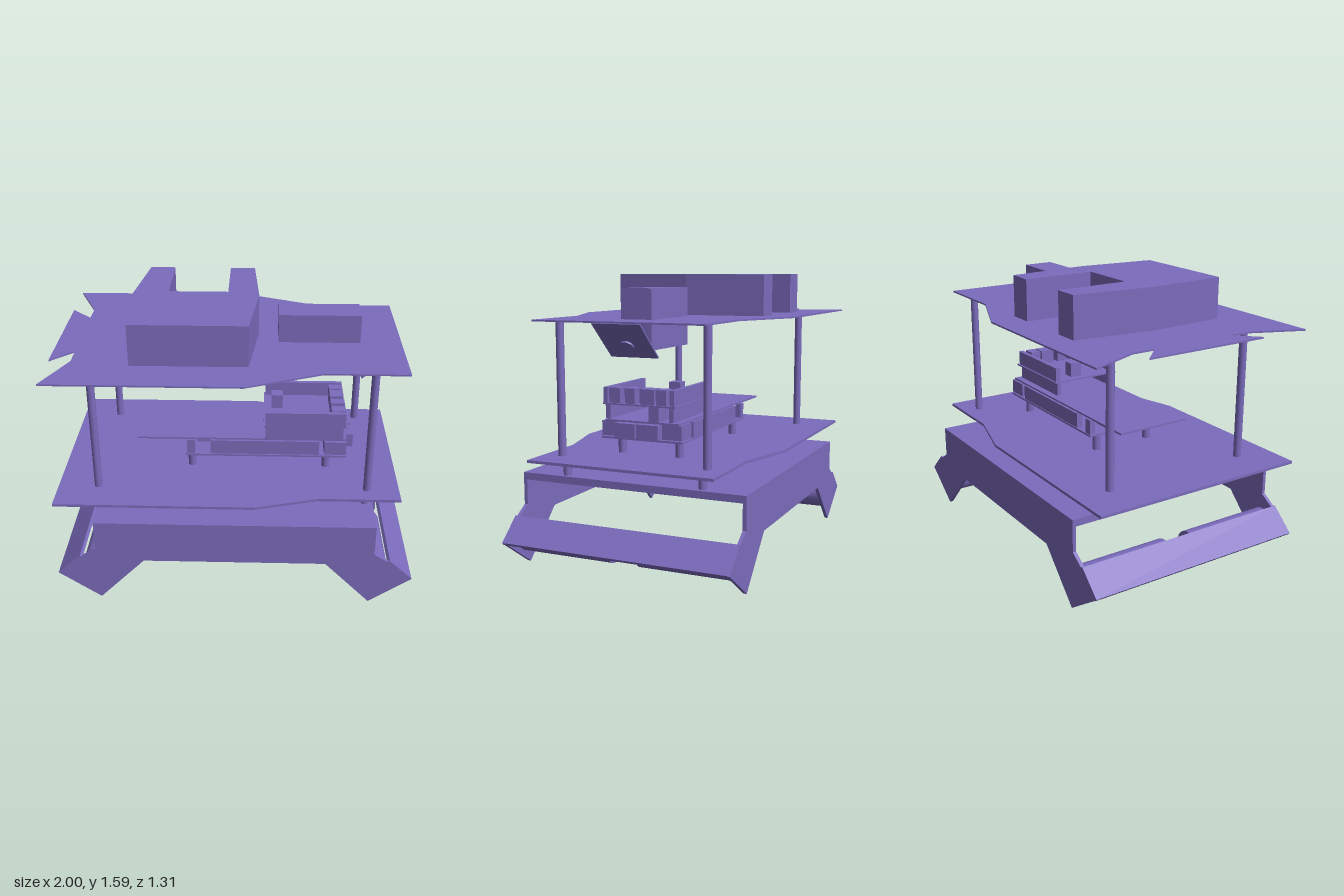
import * as THREE from 'three';

const violet = new THREE.MeshStandardMaterial({ color: 0x7b6bbc });
violet.name = 'violet';

export function createModel() {
  const model = new THREE.Group();
  model.name = 'twoDeckRobot';

  const add = (name, geometry) => {
    const mesh = new THREE.Mesh(geometry, violet);
    mesh.name = name;
    model.add(mesh);
    return mesh;
  };
  // Box given by its limits on each axis
  const box = (name, x0, x1, y0, y1, z0, z1) =>
    add(name, new THREE.BoxGeometry(x1 - x0, y1 - y0, z1 - z0))
      .position.set((x0 + x1) / 2, (y0 + y1) / 2, (z0 + z1) / 2);
  // Upright cylinder between two heights
  const post = (name, x, z, r, y0, y1) =>
    add(name, new THREE.CylinderGeometry(r, r, y1 - y0, 20)).position.set(x, (y0 + y1) / 2, z);
  const extrude = (points, depth) => new THREE.ExtrudeGeometry(
    new THREE.Shape(points.map(([x, y]) => new THREE.Vector2(x, y))),
    { depth, bevelEnabled: false });
  // Plan outline in x, z raised from y0 to y1
  const slab = (name, outline, y0, y1) =>
    add(name, extrude(outline.map(([x, z]) => [x, -z]), y1 - y0).rotateX(-Math.PI / 2).translate(0, y0, 0));
  // Side profile in x, y run along z
  const profile = (name, points, z0, z1) =>
    add(name, extrude(points, z1 - z0).translate(0, 0, z0));
  // Half outline followed by its mirror image
  const mirrored = (half, axis) => [...half,
    ...half.slice().reverse().map(([a, b]) => axis === 0 ? [-a, b] : [a, -b])];

  // Chassis: two legged side plates joined by a top panel
  const side = mirrored([[0.78, 0.515], [0.78, 0.335], [0.857, 0.285], [0.87, 0.29],
    [1, 0.17], [0.765, 0.005], [0.51, 0.265]], 0);
  profile('leftSidePlate', side, 0.635, 0.655);
  profile('rightSidePlate', side, -0.655, -0.635);
  box('chassisTop', -0.78, 0.78, 0.475, 0.515, -0.635, 0.635);

  // Sloping bumpers and paired rollers at both ends
  for (const s of [-1, 1]) {
    const bumper = [[0.87, 0.292], [1, 0.172], [0.986, 0.157], [0.856, 0.277]];
    profile('bumper', bumper.map(([x, y]) => [s * x, y]), -0.655, 0.655);
    for (const t of [-1, 1]) {
      const roller = add('roller', new THREE.CylinderGeometry(0.085, 0.085, 0.555, 32));
      roller.rotation.x = Math.PI / 2;
      roller.position.set(s * 0.79, 0.163, t * 0.3575);
    }
  }

  // Decks
  slab('lowerDeck', mirrored([[-1, 0.63], [0.11, 0.63], [0.46, 0.535], [0.92, 0.535]], 1), 0.605, 0.62);
  slab('upperDeck', mirrored([[-1, 0.36], [-0.88, 0.24], [-0.88, 0.37], [-1, 0.655],
    [0.05, 0.655], [0.46, 0.488], [0.915, 0.488]], 1), 1.355, 1.364);

  // Posts under and between the decks
  for (const t of [-1, 1]) {
    for (const x of [-0.74, 0, 0.735]) post('shortPost', x, t * 0.4, 0.022, 0.515, 0.605);
    for (const x of [-0.775, 0.74]) post('tallPost', x, t * 0.428, 0.022, 0.62, 1.355);
    for (const x of [-0.26, 0.52]) post('boardStandoff', x, t * 0.174, 0.023, 0.62, 0.716);
  }

  // Blocks on the upper deck
  slab('notchedBlock', [[-0.535, -0.49], [-0.39, -0.49], [-0.39, -0.08], [-0.055, -0.08],
    [-0.055, -0.49], [0.09, -0.49], [0.12, -0.03], [0.07, 0.42], [-0.565, 0.42], [-0.59, -0.03]], 1.364, 1.595);
  box('batteryBlock', 0.23, 0.685, 1.205, 1.525, -0.09, 0.087);

  // Tilted camera plate with its lens
  profile('cameraPlate', [[0.91, 1.352], [0.702, 1.168], [0.697, 1.175], [0.9, 1.355]], -0.137, 0.137);
  const lens = add('cameraLens', new THREE.CylinderGeometry(0.036, 0.036, 0.016, 28));
  lens.position.set(0.782, 1.236, 0);
  lens.rotation.z = Math.atan2(0.184, 0.208);

  // Lower circuit board with headers and ports
  box('lowerBoard', -0.295, 0.63, 0.714, 0.725, -0.24, 0.243);
  for (const [z0, z1] of [[0.2, 0.235], [-0.235, -0.2]]) {
    box('longHeader', -0.15, 0.475, 0.725, 0.81, z0, z1);
    box('shortHeader', -0.285, -0.24, 0.725, 0.81, z0, z1);
  }
  box('endHeader', -0.235, -0.155, 0.725, 0.81, -0.1, 0.1);
  for (const [x1, z0, z1] of [[0.63, 0.145, 0.24], [0.675, 0.02, 0.14], [0.675, -0.115, 0.01], [0.63, -0.235, -0.12]])
    box('lowerPort', 0.505, x1, 0.73, 0.81, z0, z1);

  // Middle plate and its supports
  box('middlePlate', -0.57, 0.63, 0.81, 0.82, -0.22, 0.22);
  box('leftSupport', 0.165, 0.61, 0.82, 0.9, 0.2, 0.228);
  box('rightSupport', 0.165, 0.61, 0.82, 0.9, -0.178, -0.152);
  box('middlePort', 0.505, 0.63, 0.82, 0.9, -0.1, -0.042);

  // Upper circuit board with rails and ports
  box('upperBoard', 0.155, 0.63, 0.9, 0.909, -0.198, 0.235);
  box('leftRail', 0.165, 0.62, 0.909, 0.992, 0.21, 0.236);
  box('rightRail', 0.165, 0.62, 0.909, 0.992, -0.187, -0.16);
  for (const [z0, z1] of [[0.135, 0.2], [0.045, 0.105], [-0.07, 0.015], [-0.14, -0.08]])
    box('upperPort', 0.54, 0.62, 0.909, 0.992, z0, z1);
  box('upperChip', 0.2, 0.265, 0.909, 0.992, -0.06, 0.01);

  return model;
}
